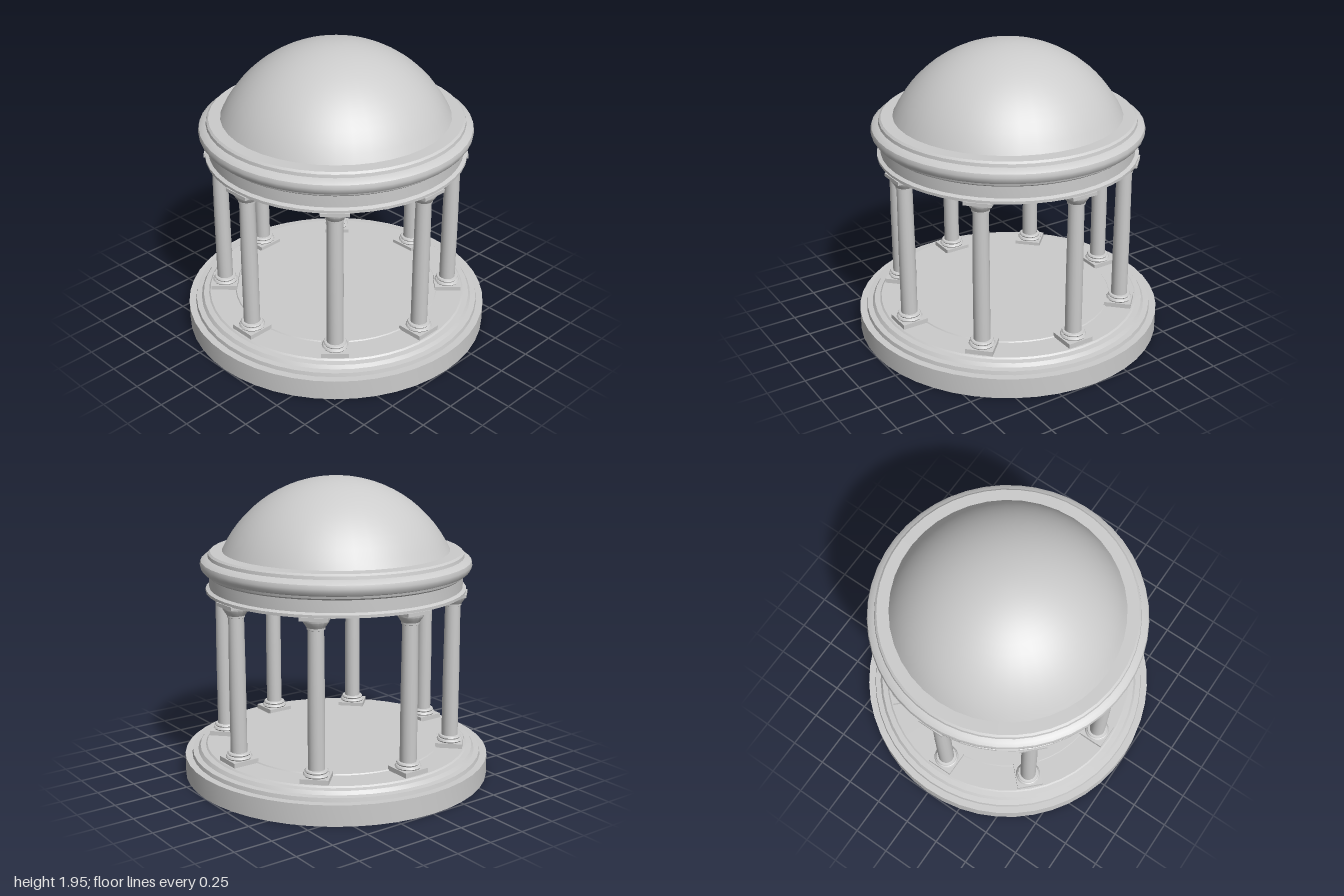
import * as THREE from 'three';
import { toCreasedNormals } from 'three/addons/utils/BufferGeometryUtils.js';

const material = new THREE.MeshStandardMaterial({ color: 0xcccccc });

// Solid of revolution from [radius, height] pairs listed bottom to top
function turned(name, profile, segments, crease = 0.5) {
  const points = profile.map(([r, y]) => new THREE.Vector2(r, y));
  const geometry = toCreasedNormals(new THREE.LatheGeometry(points, segments), crease);
  const mesh = new THREE.Mesh(geometry, material);
  mesh.name = name;
  return mesh;
}

function slab(name, width, height, y) {
  const mesh = new THREE.Mesh(new THREE.BoxGeometry(width, height, width), material);
  mesh.name = name;
  mesh.position.y = y;
  return mesh;
}

// Column with square plinth, moulded foot, tapered shaft and flared capital
function createColumn() {
  const column = new THREE.Group();
  column.name = 'column';
  column.add(slab('plinth', 0.175, 0.035, 0.21));
  column.add(turned('columnFoot', [
    [0, 0.225], [0.077, 0.225], [0.084, 0.235], [0.077, 0.246],
    [0.069, 0.249], [0.074, 0.257], [0.069, 0.266], [0.054, 0.268],
  ], 16));
  column.add(turned('shaft', [[0.053, 0.26], [0.053, 0.7], [0.049, 1.15]], 16));
  column.add(turned('capital', [
    [0.049, 1.135], [0.056, 1.138], [0.056, 1.15], [0.066, 1.165],
    [0.081, 1.188], [0.083, 1.206], [0, 1.206],
  ], 16));
  column.add(slab('abacus', 0.175, 0.022, 1.213));
  return column;
}

export function createModel() {
  const rotunda = new THREE.Group();
  rotunda.name = 'rotunda';

  // Round stepped platform
  rotunda.add(turned('platform', [
    [0, 0], [1, 0], [1, 0.135], [0.955, 0.135], [0.95, 0.16],
    [0.915, 0.163], [0.9, 0.185], [0.865, 0.188], [0.855, 0.197], [0, 0.197],
  ], 48));
  rotunda.add(turned('floorDisc', [[0.69, 0.19], [0.68, 0.204], [0, 0.204]], 48));

  // Ring of eight columns, each facing outward
  for (let i = 0; i < 8; i++) {
    const angle = i * Math.PI / 4;
    const column = createColumn();
    column.position.set(Math.sin(angle) * 0.755, 0, Math.cos(angle) * 0.755);
    column.rotation.y = angle;
    rotunda.add(column);
  }

  // Entablature with flat ceiling and rounded cornice
  rotunda.add(turned('entablature', [
    [0, 1.222], [0.838, 1.222], [0.838, 1.24], [0.815, 1.25], [0.815, 1.325],
    [0.828, 1.335], [0.832, 1.35], [0.855, 1.358], [0.868, 1.378], [0.872, 1.4],
    [0.866, 1.422], [0.845, 1.438], [0.822, 1.446], [0.818, 1.466],
    [0.805, 1.477], [0, 1.477],
  ], 48));

  // Shallow spherical dome
  const domeRadius = 0.806, domeCentre = 1.139;
  const rim = Math.asin(0.73 / domeRadius);
  const domeProfile = [];
  for (let i = 0; i <= 14; i++) {
    const a = rim * (1 - i / 14);
    domeProfile.push([domeRadius * Math.sin(a), domeCentre + domeRadius * Math.cos(a)]);
  }
  rotunda.add(turned('dome', domeProfile, 40, 0.7));

  return rotunda;
}
